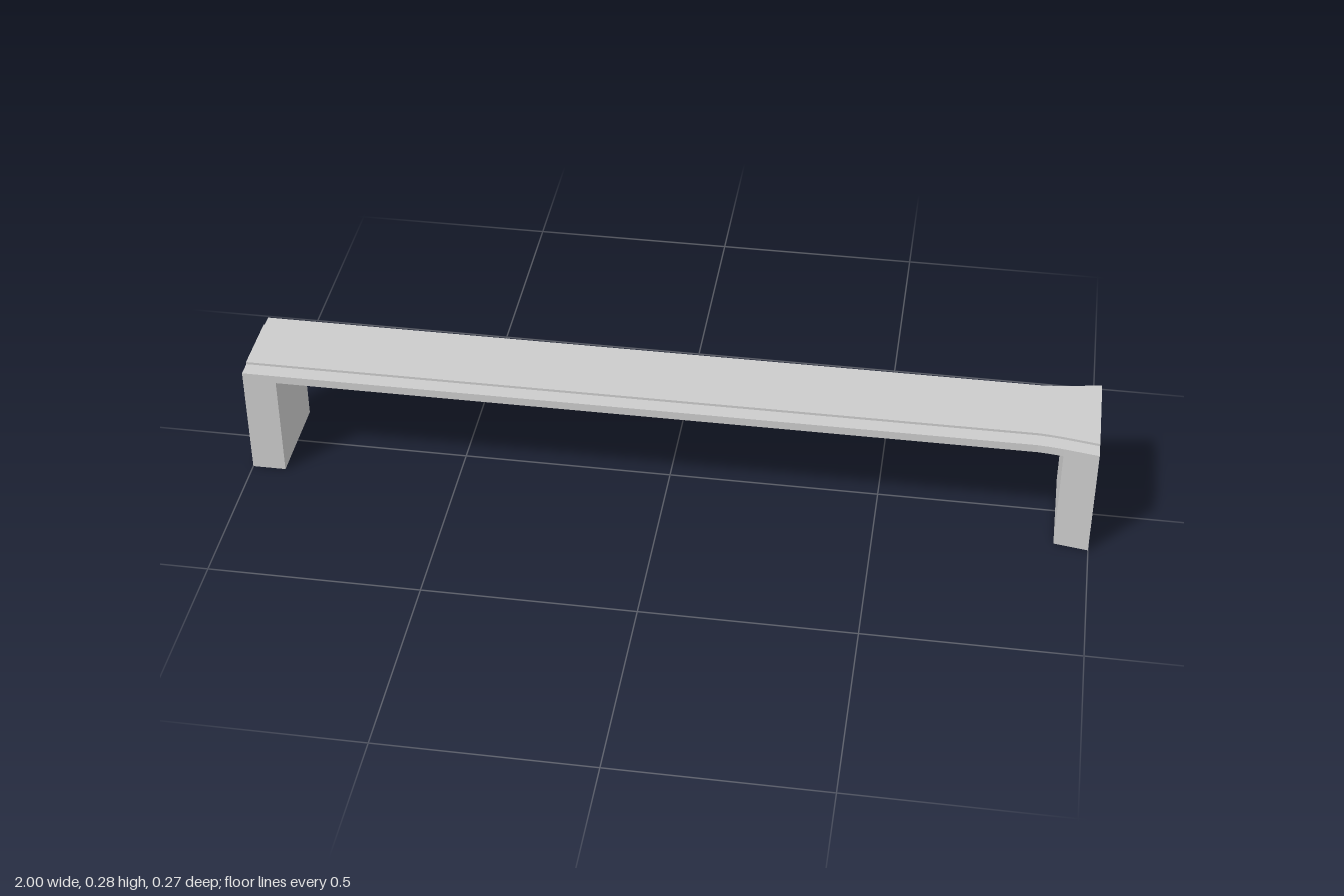
import * as THREE from 'three';

// Half-width of the outline along x: straight, then flaring at the left (+x) end
const outline = [[-1, 0.115], [-0.92, 0.115], [0.86, 0.115], [0.89, 0.1175], [0.92, 0.1215], [1, 0.135]];

// Upright slab that follows the outline between x0 and x1, from y0 to y1
function slab(name, x0, x1, y0, y1, inset, material) {
  const side = outline.filter(([x]) => x >= x0 && x <= x1).map(([x, w]) => [x, w - inset]);
  const mirrored = side.map(([x, w]) => [x, -w]);
  const points = [...mirrored, ...side.reverse()].map(([x, w]) => new THREE.Vector2(x, w));
  const geometry = new THREE.ExtrudeGeometry(new THREE.Shape(points), { depth: y1 - y0, bevelEnabled: false });
  geometry.rotateX(-Math.PI / 2);
  geometry.translate(0, y0, 0);
  const mesh = new THREE.Mesh(geometry, material);
  mesh.name = name;
  return mesh;
}

export function createModel() {
  const group = new THREE.Group();
  group.name = 'bridgeBracket';
  const grey = new THREE.MeshStandardMaterial({ color: 0xcccccc, flatShading: true });

  // Two legs, thin crossbar and the raised strip along its top
  group.add(
    slab('rightLeg', -1, -0.92, 0, 0.258, 0, grey),
    slab('leftLeg', 0.92, 1, 0, 0.258, 0, grey),
    slab('crossbar', -1, 1, 0.258, 0.278, 0, grey),
    slab('raisedStrip', -1, 1, 0.278, 0.284, 0.037, grey),
  );
  return group;
}
